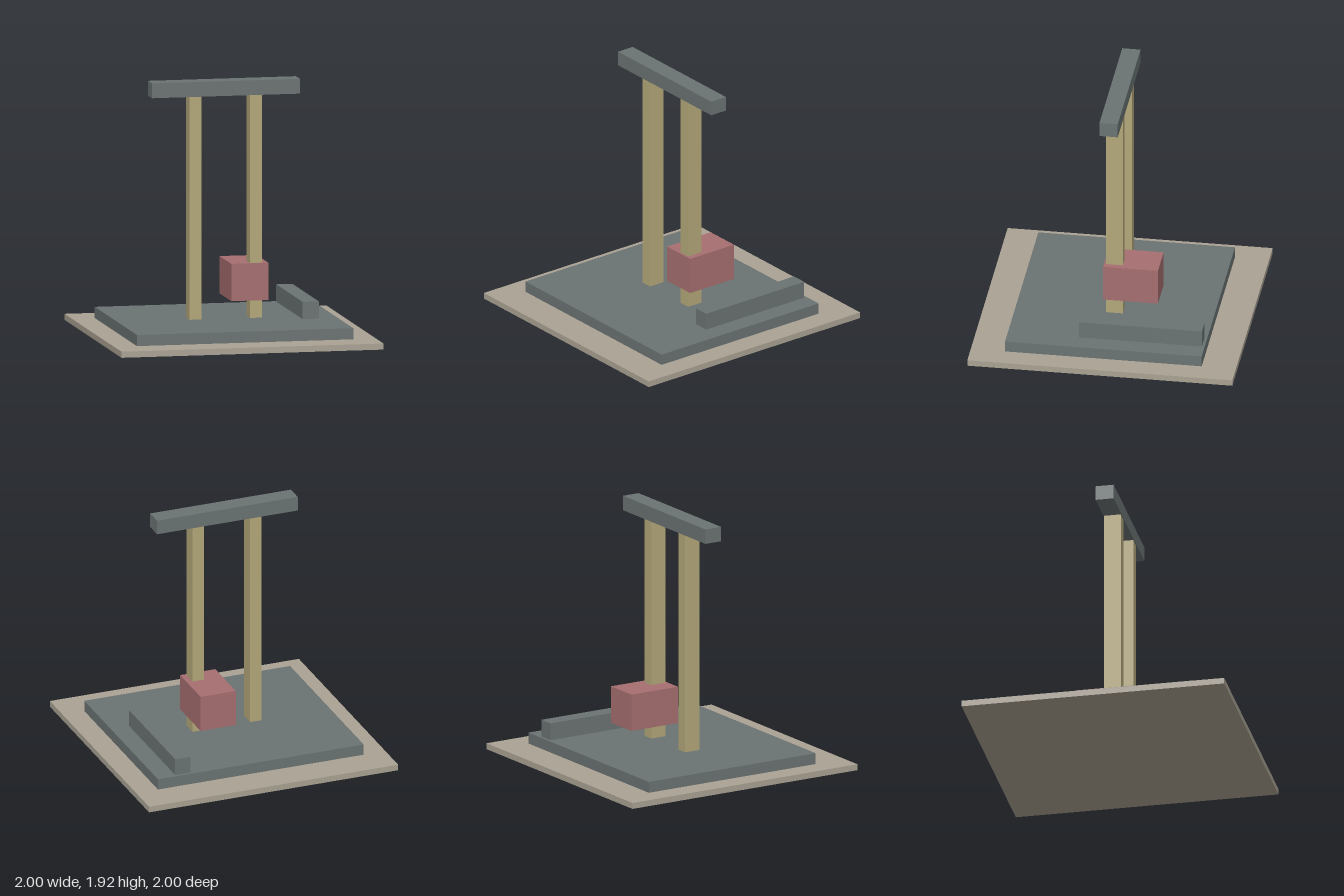
import * as THREE from 'three';

const material = (name, color) => {
  const m = new THREE.MeshStandardMaterial({ color });
  m.name = name;
  return m;
};

export function createModel() {
  const group = new THREE.Group();
  group.name = 'gateFrame';

  const sand = material('sand', 0xaaa293);
  const slate = material('slate', 0x6b7373);
  const wood = material('wood', 0xb3a779);
  const red = material('dustyRed', 0xa66e70);

  // Box given by its [min, max] extents on each axis
  const block = (name, mat, [x0, x1], [y0, y1], [z0, z1]) => {
    const mesh = new THREE.Mesh(new THREE.BoxGeometry(x1 - x0, y1 - y0, z1 - z0), mat);
    mesh.position.set((x0 + x1) / 2, (y0 + y1) / 2, (z0 + z1) / 2);
    mesh.name = name;
    group.add(mesh);
  };

  // Ground slab and raised platform
  block('groundSlab', sand, [-1, 1], [0, 0.046], [-1, 1]);
  block('platform', slate, [-0.826, 0.826], [0.046, 0.13], [-0.742, 0.742]);

  // Pair of posts carrying the crossbeam
  for (const [name, side] of [['leftPost', 1], ['rightPost', -1]]) {
    const x = side * 0.231;
    block(name, wood, [x - 0.046, x + 0.046], [0.13, 1.81], [-0.063, 0.063]);
  }
  block('crossbeam', slate, [-0.565, 0.565], [1.81, 1.922], [-0.069, 0.069]);

  // Box fixed around the left post
  block('postBox', red, [0.039, 0.321], [0.263, 0.544], [-0.335, 0.078]);

  // Low rail along the left side of the platform
  block('sideRail', slate, [0.555, 0.679], [0.13, 0.26], [-0.721, 0.206]);

  return group;
}
